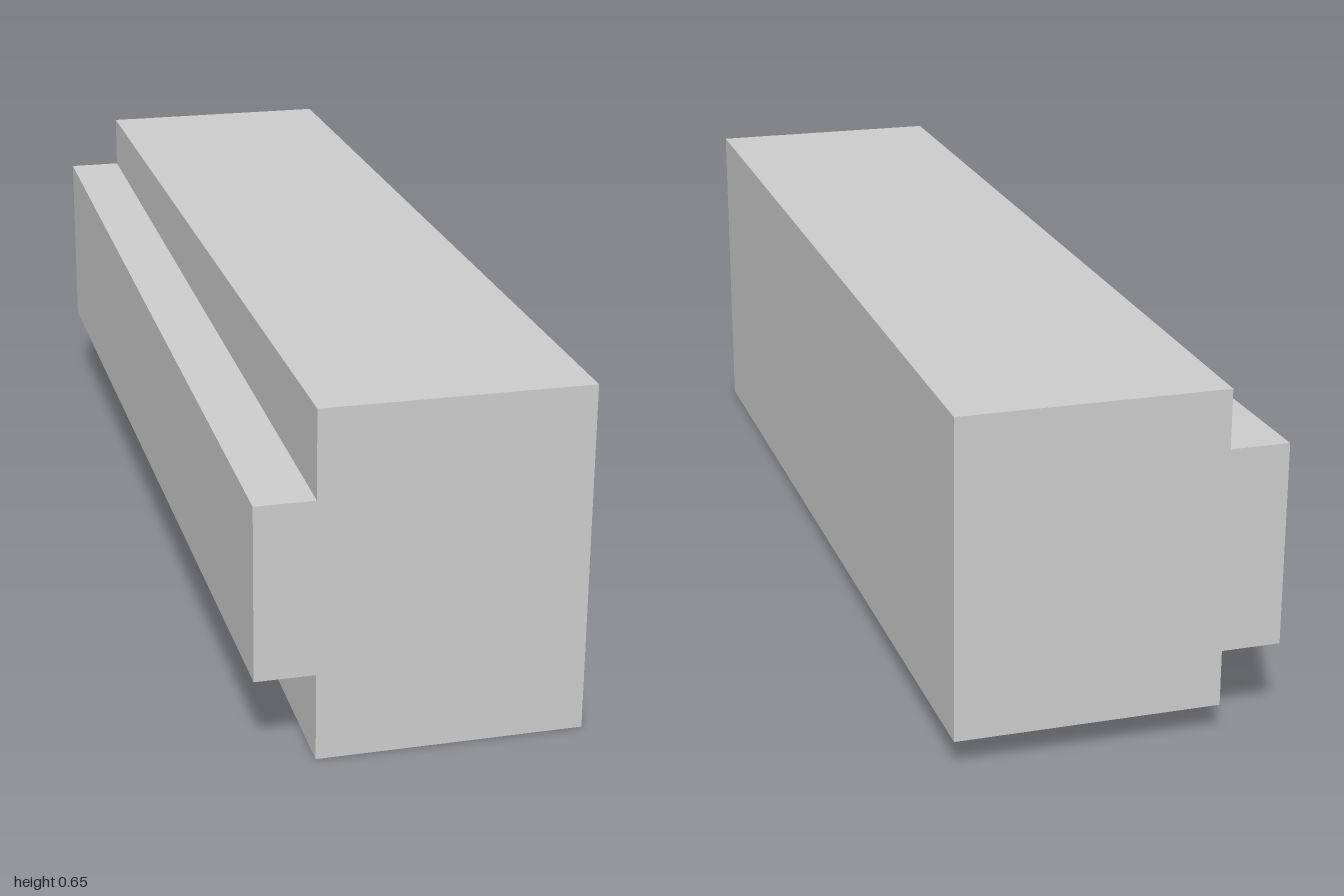
import * as THREE from 'three';

const HALF_X = 0.298, STEP_X = -0.189;
const TOP = 0.65, RAIL_TOP = 0.487, RAIL_BOTTOM = 0.163;
const BODY_RISE = 0.058, RAIL_RISE = 0.054;

export function createModel() {
  const group = new THREE.Group();
  group.name = 'railedBeam';

  // Body outline with the side rail stepping out towards -x
  const profile = new THREE.Shape([
    [STEP_X, 0], [HALF_X, 0], [HALF_X, TOP], [STEP_X, TOP],
    [STEP_X, RAIL_TOP], [-HALF_X, RAIL_TOP], [-HALF_X, RAIL_BOTTOM], [STEP_X, RAIL_BOTTOM],
  ].map(([x, y]) => new THREE.Vector2(x, y)));

  const geometry = new THREE.ExtrudeGeometry(profile, { depth: 2, bevelEnabled: false });
  geometry.translate(0, 0, -1);

  // Taper: the underside and the rail's top rise towards the back
  const pos = geometry.attributes.position;
  for (let i = 0; i < pos.count; i++) {
    if (pos.getZ(i) > 0) continue;
    const y = pos.getY(i);
    if (y < 0.01) pos.setY(i, BODY_RISE);
    else if (Math.abs(y - RAIL_TOP) < 0.01) pos.setY(i, RAIL_TOP + RAIL_RISE);
  }
  geometry.computeVertexNormals();

  const beam = new THREE.Mesh(
    geometry,
    new THREE.MeshStandardMaterial({ color: 0xcccccc, flatShading: true }),
  );
  beam.name = 'beamWithSideRail';
  group.add(beam);
  return group;
}
